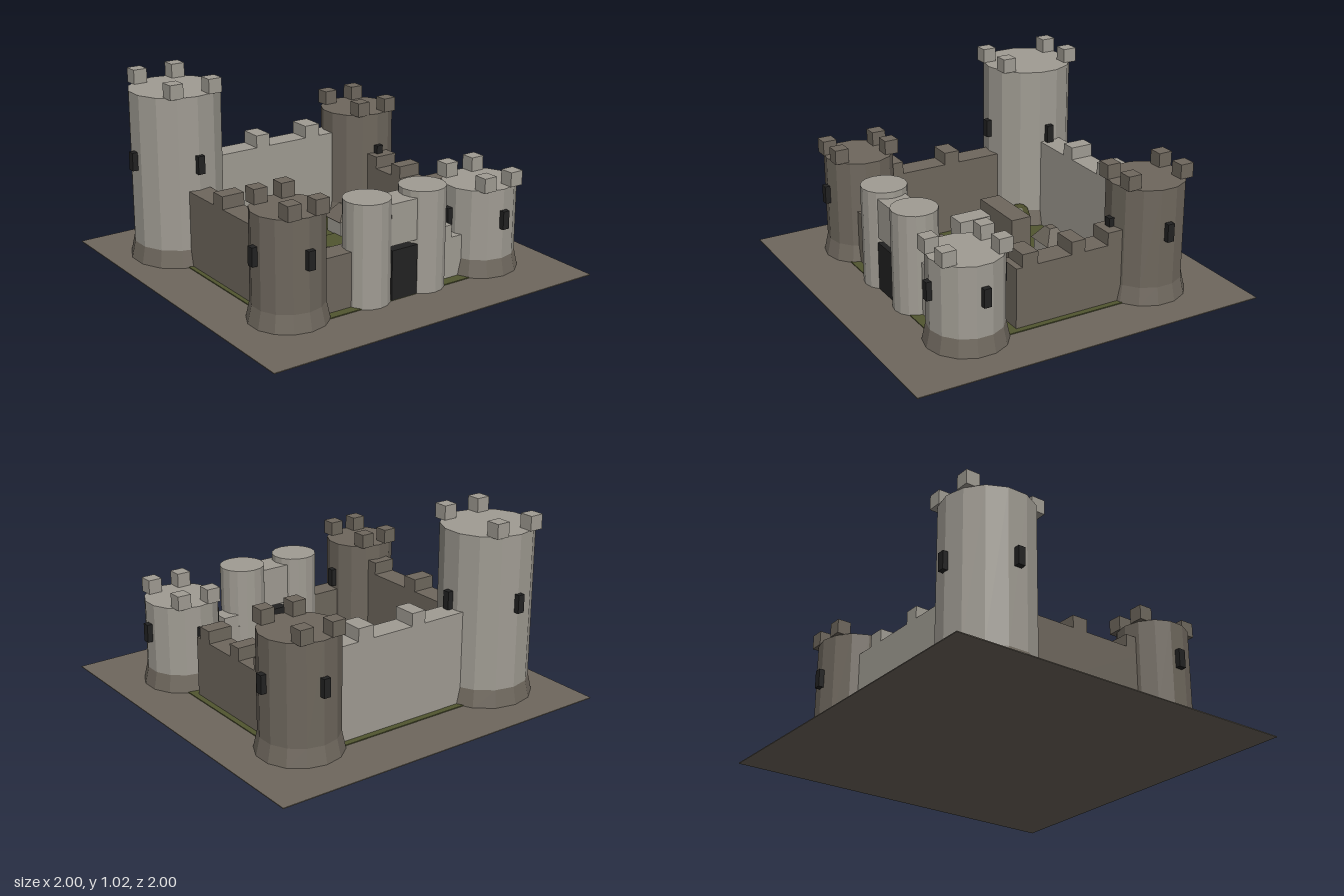
import * as THREE from 'three';

const mat = (name, color) => {
  const m = new THREE.MeshStandardMaterial({ color, flatShading: true });
  m.name = name;
  return m;
};

export function createModel() {
  const root = new THREE.Group();
  root.name = 'castle';
  const light = mat('light stone', 0xa09c93);
  const dark = mat('dark stone', 0x6e675d);
  const grass = mat('grass green', 0x515530);
  const leaf = mat('leaf green', 0x4b4d2b);
  const black = mat('black', 0x222222);

  const add = (parent, name, geo, material, x = 0, y = 0, z = 0) => {
    const m = new THREE.Mesh(geo, material);
    m.name = name;
    m.position.set(x, y, z);
    parent.add(m);
    return m;
  };
  // Box given by its extents
  const block = (parent, name, material, x0, x1, y0, y1, z0, z1) =>
    add(parent, name, new THREE.BoxGeometry(x1 - x0, y1 - y0, z1 - z0), material,
      (x0 + x1) / 2, (y0 + y1) / 2, (z0 + z1) / 2);

  // Ground and lawns
  block(root, 'ground', dark, -1, 1, 0, 0.005, -1, 1);
  block(root, 'lawn', grass, -0.7, 0.7, 0.002, 0.01, -0.675, 0.67);
  block(root, 'courtyard', grass, -0.345, 0.49, 0.004, 0.014, -0.26, 0.445);

  // Corner tower: shaft, flared foot, four merlons, four windows
  const tower = (name, x, z, r, h, windowY, dx, dz, material) => {
    const g = new THREE.Group();
    g.name = name;
    g.position.set(x, 0, z);
    root.add(g);
    add(g, 'shaft', new THREE.CylinderGeometry(r, r, h - 0.1, 14), material, 0, (h + 0.1) / 2, 0);
    add(g, 'foot', new THREE.CylinderGeometry(r, r + 0.022, 0.1, 14), dark, 0, 0.05, 0);
    for (const sx of [-1, 1]) for (const sz of [-1, 1])
      add(g, 'merlon', new THREE.BoxGeometry(0.078, 0.08, 0.078), material, sx * dx, h + 0.038, sz * dz);
    for (let i = 0; i < 4; i++) {
      const a = i * Math.PI / 2;
      const w = add(g, 'window', new THREE.BoxGeometry(0.04, 0.1, 0.04), black,
        Math.sin(a) * (r + 0.005), windowY, Math.cos(a) * (r + 0.005));
      w.rotation.y = a;
    }
  };
  tower('backRightTower', -0.615, -0.555, 0.25, 0.945, 0.575, 0.115, 0.2, light);
  tower('backLeftTower', 0.59, -0.55, 0.21, 0.645, 0.41, 0.093, 0.163, dark);
  tower('frontRightTower', -0.613, 0.53, 0.19, 0.585, 0.375, 0.08, 0.148, dark);
  tower('frontLeftTower', 0.608, 0.53, 0.2, 0.485, 0.32, 0.09, 0.155, light);

  // Curtain walls, each with merlons given as [start, end] along its length
  const wall = (name, material, along, a0, a1, b0, b1, h, merlons) => {
    const g = new THREE.Group();
    g.name = name;
    root.add(g);
    const put = (part, s, e, y0, y1) => along === 'x'
      ? block(g, part, material, s, e, y0, y1, b0, b1)
      : block(g, part, material, b0, b1, y0, y1, s, e);
    put('wallBody', a0, a1, 0.01, h);
    for (const [s, e] of merlons) put('wallMerlon', s, e, h, h + 0.07);
  };
  wall('backWall', light, 'x', -0.45, 0.45, -0.64, -0.51, 0.525, [[-0.13, -0.045], [0.2, 0.295]]);
  wall('rightWall', dark, 'z', -0.4, 0.42, -0.675, -0.545, 0.43, [[-0.065, 0.025], [0.29, 0.375]]);
  wall('leftWall', dark, 'z', -0.4, 0.275, 0.53, 0.668, 0.342, [[0.15, 0.24], [-0.13, -0.05], [-0.36, -0.27]]);
  wall('frontWallRight', dark, 'x', -0.46, -0.26, 0.5, 0.62, 0.305, []);
  wall('frontWallLeft', light, 'x', 0.26, 0.45, 0.49, 0.61, 0.235, [[0.27, 0.36]]);

  // Gatehouse
  for (const s of [-1, 1])
    add(root, 'gateTower', new THREE.CylinderGeometry(0.125, 0.125, 0.555, 16), light, s * 0.176, 0.2825, 0.585);
  block(root, 'gateLintel', light, -0.083, 0.08, 0.303, 0.525, 0.508, 0.668);
  block(root, 'gate', black, -0.08, 0.08, 0.01, 0.28, 0.5, 0.675);

  // Courtyard halls
  block(root, 'longHall', dark, -0.355, -0.005, 0.01, 0.26, -0.22, -0.1);
  block(root, 'sideHall', light, -0.355, -0.24, 0.01, 0.2, -0.1, 0.095);

  // Huts with hipped roofs
  const huts = [[0.015, -0.34, 0.175, 0.15], [0.31, -0.265, 0.195, 0.16],
    [-0.18, 0.25, 0.14, 0.115], [0.235, 0.21, 0.2, 0.165]];
  for (const [x, z, w, d] of huts) {
    block(root, 'hut', light, x - w * 0.42, x + w * 0.42, 0.01, 0.1, z - d * 0.42, z + d * 0.42);
    const roof = new THREE.CylinderGeometry(0.22, Math.SQRT1_2, 0.08, 4).rotateY(Math.PI / 4);
    add(root, 'hutRoof', roof, dark, x, 0.14, z).scale.set(w, 1, d);
  }

  // Bushes
  for (const [x, z] of [[-0.395, -0.38], [-0.415, 0.31], [0.43, 0.33]])
    add(root, 'bush', new THREE.SphereGeometry(0.067, 8, 6), leaf, x, 0.085, z);

  return root;
}
